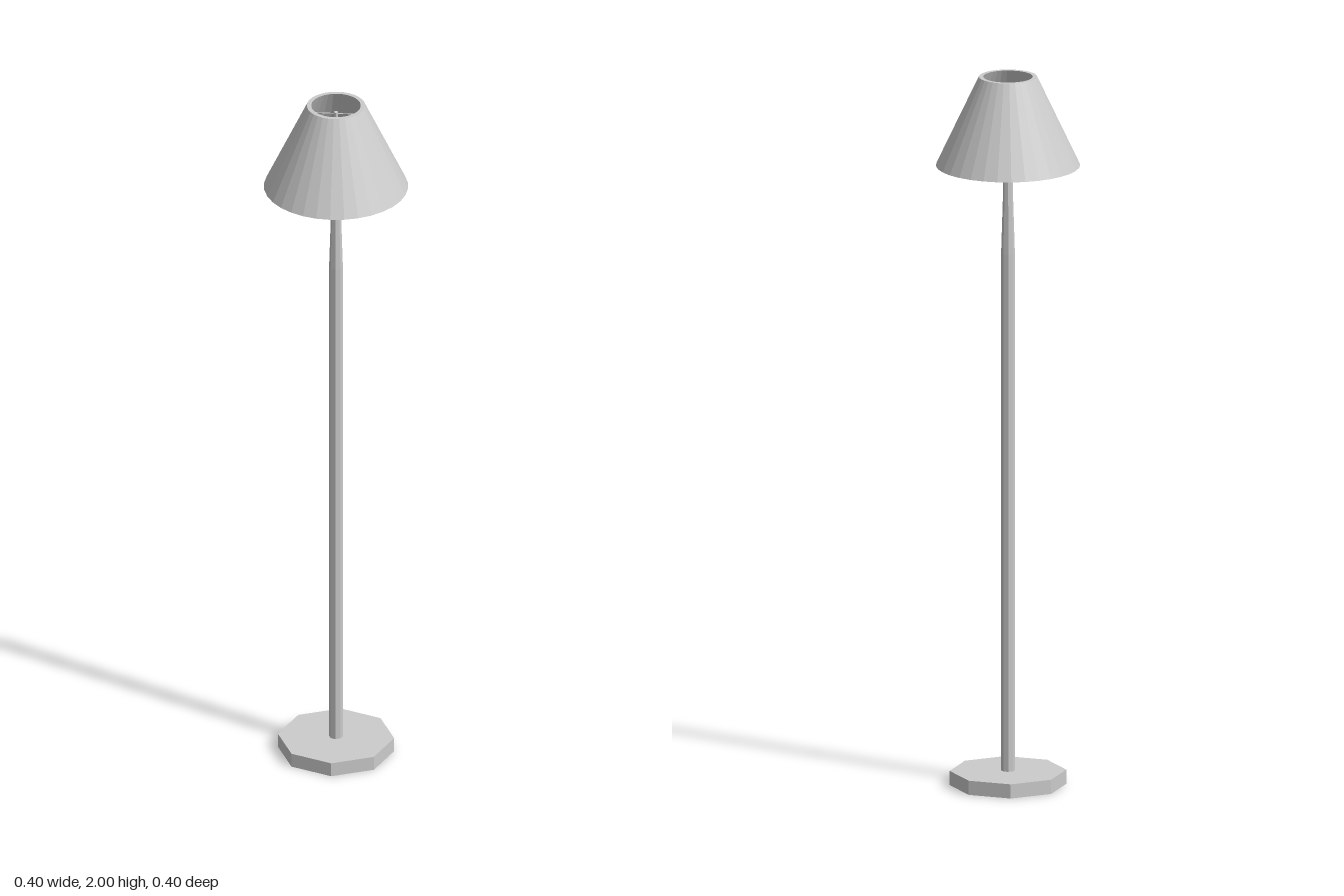
import * as THREE from 'three';

export function createModel() {
  const group = new THREE.Group();
  const material = new THREE.MeshStandardMaterial({ color: 0xcccccc, flatShading: true });

  const add = (name, geometry, y = 0) => {
    const mesh = new THREE.Mesh(geometry, material);
    mesh.name = name;
    mesh.position.y = y;
    group.add(mesh);
    return mesh;
  };
  const lathe = (points, sides) =>
    new THREE.LatheGeometry(points.map(([r, y]) => new THREE.Vector2(r, y)), sides);

  // Octagonal foot
  add('base', new THREE.CylinderGeometry(0.16, 0.16, 0.04, 8), 0.02);

  // Octagonal pole, narrowing towards the shade
  add('pole', lathe([
    [0.019, 0.04], [0.019, 1.5], [0.014, 1.66], [0.012, 1.78],
    [0.012, 1.9], [0.006, 1.93], [0.006, 1.98], [0, 1.98],
  ], 8));

  // Hollow conical shade: outside, top rim, inside, bottom rim
  add('shade', lathe([
    [0.198, 1.75], [0.08, 2], [0.068, 2], [0.186, 1.75], [0.198, 1.75],
  ], 32));

  // Thin rod holding the shade on the pole
  const rod = add('shadeRod', new THREE.CylinderGeometry(0.0015, 0.0015, 0.156, 6), 1.975);
  rod.rotation.z = Math.PI / 2;

  return group;
}
